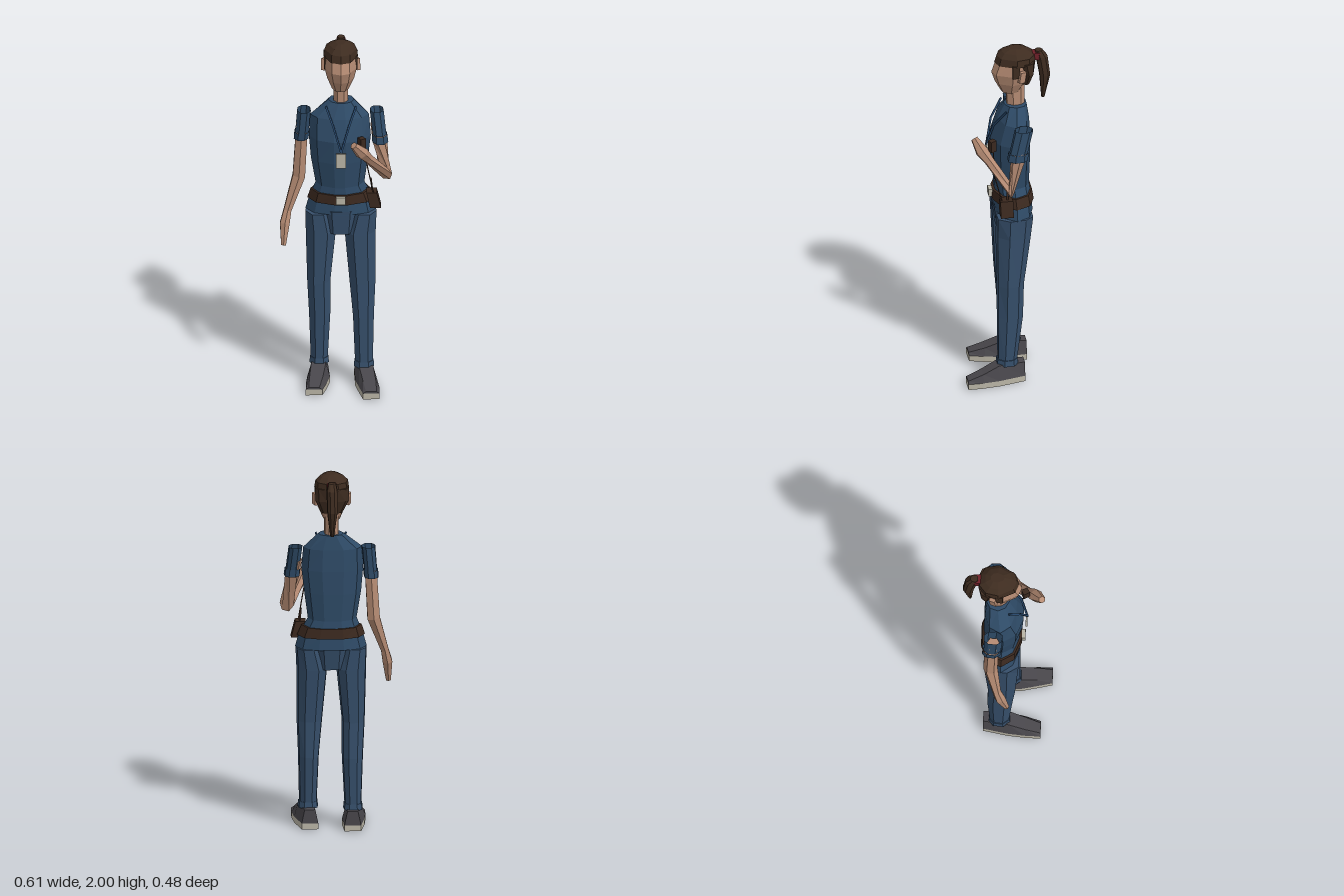
import * as THREE from 'three';

const mat = (name, color, side = THREE.FrontSide) => {
  const m = new THREE.MeshStandardMaterial({ color, side });
  m.name = name;
  return m;
};

// unit outlines as [x, z], half listed from front to back, then mirrored
const mirrored = half => [...half, ...half.filter(p => p[0] > 0).reverse().map(([x, z]) => [-x, z])];
const BODY = mirrored([[0.2, 1], [0.75, 0.65], [1, 0], [0.8, -0.7], [0.35, -1]]);
const HEAD = mirrored([[0, 1], [0.55, 0.82], [1, 0], [0.85, -0.65], [0.35, -1]]);
const LIMB = mirrored([[0.45, 1], [1, 0.35], [0.9, -0.55], [0.4, -1]]);
const BOX = mirrored([[1, 1], [1, -1]]);

// horizontal cross-section fitted to bounds
const section = (shape, [y, x0, x1, z0, z1]) => shape.map(([u, v]) =>
  new THREE.Vector3((x0 + x1) / 2 + u * (x1 - x0) / 2, y, (z0 + z1) / 2 + v * (z1 - z0) / 2));

// flat-faceted skin through a list of rings, turned to face outward
function loft(rings, capStart = true, capEnd = true) {
  const n = rings[0].length, tris = [];
  for (let i = 0; i < rings.length - 1; i++) {
    for (let j = 0; j < n; j++) {
      const k = (j + 1) % n, a = rings[i], b = rings[i + 1];
      tris.push([a[j], a[k], b[k]], [a[j], b[k], b[j]]);
    }
  }
  const first = rings[0], last = rings[rings.length - 1];
  for (let j = 1; j < n - 1; j++) {
    if (capStart) tris.push([first[0], first[j + 1], first[j]]);
    if (capEnd) tris.push([last[0], last[j], last[j + 1]]);
  }
  const c = new THREE.Vector3();
  rings.flat().forEach(p => c.add(p));
  c.divideScalar(rings.length * n);
  let volume = 0;
  for (const [p, q, r] of tris) {
    volume += p.clone().sub(c).dot(q.clone().sub(c).cross(r.clone().sub(c)));
  }
  const pts = tris.flatMap(t => volume < 0 ? [t[0], t[2], t[1]] : t);
  const g = new THREE.BufferGeometry().setFromPoints(pts);
  g.computeVertexNormals();
  return g;
}

// rings set square to a path of [x, y, z, radius]
function limb(path, sides = 6, ref = new THREE.Vector3(0, 0, 1)) {
  const pts = path.map(p => new THREE.Vector3(p[0], p[1], p[2]));
  return loft(pts.map((p, i) => {
    const t = pts[Math.min(i + 1, pts.length - 1)].clone().sub(pts[Math.max(i - 1, 0)]).normalize();
    const u = new THREE.Vector3().crossVectors(t, ref).normalize();
    const v = new THREE.Vector3().crossVectors(u, t);
    return Array.from({ length: sides }, (_, j) => {
      const a = (j + 0.5) / sides * Math.PI * 2;
      return p.clone().addScaledVector(u, Math.cos(a) * path[i][3]).addScaledVector(v, Math.sin(a) * path[i][3]);
    });
  }));
}

export function createModel() {
  const group = new THREE.Group();
  group.name = 'standingWoman';
  const skin = mat('skin', 0xb58b73);
  const hair = mat('hair', 0x3e2c20);
  const shirt = mat('shirt', 0x2e4a66, THREE.DoubleSide);
  const trousers = mat('trousers', 0x364f6b);
  const trim = mat('trim', 0x27476b);
  const leather = mat('leather', 0x3a281e);
  const shoe = mat('shoe', 0x48464b);
  const pale = mat('pale', 0xbab5a6);
  const red = mat('red', 0x6e2028);

  const add = (name, geometry, material) => {
    const m = new THREE.Mesh(geometry, material);
    m.name = name;
    group.add(m);
    return m;
  };
  const stack = (name, material, shape, rows, a = true, b = true) =>
    add(name, loft(rows.map(r => section(shape, r)), a, b), material);
  const box = (name, material, w, h, d, x, y, z) => {
    const m = add(name, new THREE.BoxGeometry(w, h, d), material);
    m.position.set(x, y, z);
    return m;
  };

  // torso and pelvis
  stack('tunic', shirt, BODY, [
    [1.02, -0.165, 0.225, -0.135, 0.07], [1.09, -0.145, 0.205, -0.13, 0.065],
    [1.18, -0.11, 0.155, -0.12, 0.065], [1.33, -0.135, 0.175, -0.125, 0.082],
    [1.46, -0.146, 0.19, -0.125, 0.088], [1.58, -0.14, 0.18, -0.12, 0.05],
    [1.66, -0.04, 0.1, -0.11, 0.01]]);
  stack('pelvis', trousers, LIMB, [[1.04, -0.085, 0.14, -0.13, 0.072], [0.9, -0.065, 0.12, -0.1, 0.055]]);

  // neck, head and ears
  stack('neck', skin, LIMB, [[1.64, -0.012, 0.067, -0.1, -0.005], [1.78, -0.012, 0.067, -0.1, 0]]);
  stack('head', skin, HEAD, [
    [1.735, -0.02, 0.07, -0.07, 0.025], [1.8, -0.047, 0.1, -0.11, 0.06],
    [1.86, -0.062, 0.115, -0.135, 0.08], [1.95, -0.058, 0.111, -0.145, 0.05]]);
  for (const s of [-1, 1]) {
    const ear = box('ear', skin, 0.02, 0.065, 0.035, 0.027 + s * 0.09, 1.86, -0.075);
    ear.rotation.set(-0.15, s * 0.4, 0);
    box('sideburn', hair, 0.012, 0.075, 0.04, 0.027 + s * 0.086, 1.89, -0.043);
  }

  // hair
  stack('hairCap', hair, HEAD, [
    [1.918, -0.068, 0.121, -0.157, 0.064], [1.96, -0.062, 0.115, -0.152, 0.052],
    [1.985, -0.036, 0.09, -0.12, 0.025], [2, 0, 0.055, -0.09, -0.015]]);
  stack('hairBack', hair, BODY, [
    [1.93, -0.066, 0.12, -0.157, -0.045], [1.86, -0.063, 0.116, -0.15, -0.08],
    [1.79, -0.03, 0.085, -0.128, -0.08]]);
  stack('ponytail', hair, LIMB, [
    [1.975, 0.008, 0.05, -0.2, -0.16], [1.935, 0, 0.06, -0.228, -0.165],
    [1.82, 0, 0.058, -0.242, -0.185], [1.68, 0.02, 0.04, -0.212, -0.195]]);
  box('hairTie', red, 0.05, 0.04, 0.04, 0.03, 1.945, -0.165);

  // arms: right hangs, left is raised in front of the chest
  add('rightArm', limb([
    [-0.18, 1.52, -0.07, 0.038], [-0.188, 1.4, -0.08, 0.037], [-0.2, 1.19, -0.085, 0.039],
    [-0.262, 1, -0.05, 0.024], [-0.277, 0.93, -0.03, 0.03], [-0.284, 0.815, 0.005, 0.015]]), skin);
  add('leftArm', limb([
    [0.225, 1.52, -0.06, 0.038], [0.24, 1.42, -0.03, 0.04], [0.268, 1.245, 0.012, 0.042],
    [0.17, 1.385, 0.115, 0.028], [0.14, 1.43, 0.15, 0.037], [0.095, 1.49, 0.185, 0.02]],
  6, new THREE.Vector3(0.6, 0, 0.8)), skin);

  // open sleeves with turned cuffs
  const sleeves = {
    right: [[1.592, -0.21, -0.135, -0.12, -0.02], [1.46, -0.22, -0.147, -0.122, -0.03],
      [1.462, -0.225, -0.143, -0.128, -0.026], [1.42, -0.228, -0.148, -0.13, -0.03]],
    left: [[1.592, 0.185, 0.26, -0.115, -0.02], [1.46, 0.2, 0.275, -0.082, 0.012],
      [1.462, 0.196, 0.28, -0.086, 0.018], [1.42, 0.198, 0.285, -0.083, 0.025]]
  };
  for (const side in sleeves) {
    stack(side + 'Sleeve', shirt, LIMB, sleeves[side].slice(0, 2), false, false);
    stack(side + 'Cuff', shirt, LIMB, sleeves[side].slice(2), false, false);
  }

  // trouser legs, left one slightly forward
  const legs = {
    right: [[1.02, -0.165, -0.03, -0.125, 0.065], [0.9, -0.163, 0, -0.12, 0.06],
      [0.6, -0.155, -0.03, -0.1, 0.045], [0.4, -0.145, -0.03, -0.105, 0.03], [0.11, -0.135, -0.045, -0.09, 0.01]],
    left: [[1.02, 0.085, 0.221, -0.125, 0.068], [0.9, 0.048, 0.216, -0.115, 0.068],
      [0.6, 0.075, 0.214, -0.075, 0.066], [0.4, 0.093, 0.206, -0.07, 0.066], [0.11, 0.105, 0.2, -0.035, 0.064]]
  };
  for (const side in legs) {
    stack(side + 'Leg', trousers, LIMB, legs[side]);
    const [, x0, x1, z0, z1] = legs[side][4];
    stack(side + 'Hem', trousers, LIMB, [[0.14, x0 - 0.005, x1 + 0.005, z0 - 0.005, z1 + 0.005],
      [0.105, x0 - 0.008, x1 + 0.008, z0 - 0.008, z1 + 0.008]]);
  }

  // shoes: stations of [z, inner/outer x, height] from heel to toe
  const shoes = {
    right: [[-0.128, -0.13, -0.04, 0.11], [0.01, -0.155, -0.032, 0.115], [0.1, -0.163, -0.05, 0.075], [0.185, -0.165, -0.075, 0.045]],
    left: [[-0.08, 0.1, 0.19, 0.11], [0.065, 0.105, 0.225, 0.115], [0.155, 0.125, 0.235, 0.075], [0.24, 0.145, 0.236, 0.045]]
  };
  for (const side in shoes) {
    const slab = (y0, top, taper) => loft(shoes[side].map(([z, x0, x1, h]) => {
      const i = (x1 - x0) * taper, y1 = top ?? h;
      return [[x0, y0], [x1, y0], [x1 - i, y1], [x0 + i, y1]].map(([x, y]) => new THREE.Vector3(x, y, z));
    }));
    add(side + 'Shoe', slab(0.033, null, 0.18), shoe);
    add(side + 'Sole', slab(0, 0.033, 0), pale);
  }

  // belt, buckle and radio in its pouch
  stack('belt', leather, BODY, [[1.085, -0.155, 0.214, -0.142, 0.08], [1.14, -0.137, 0.19, -0.134, 0.078]]);
  box('buckle', pale, 0.052, 0.042, 0.02, 0.026, 1.115, 0.088);
  stack('pouch', leather, BOX, [[1.06, 0.185, 0.245, -0.008, 0.062], [1.15, 0.165, 0.222, -0.008, 0.062]]);
  add('antenna', limb([[0.198, 1.14, 0.02, 0.007], [0.19, 1.22, 0.02, 0.006]], 4), leather);
  add('cable', limb([[0.15, 1.43, 0.09, 0.004], [0.178, 1.28, 0.085, 0.004], [0.205, 1.14, 0.05, 0.004]], 4), leather);
  const mic = box('chestMicrophone', leather, 0.032, 0.065, 0.036, 0.14, 1.46, 0.094);
  mic.rotation.y = 0.5;

  // lanyard and badge
  for (const s of [-1, 1]) {
    add('lanyard', limb([[0.028 + s * 0.082, 1.645, 0.012, 0.007], [0.028 + s * 0.042, 1.55, 0.076, 0.007],
      [0.028, 1.41, 0.108, 0.007]], 4), trim);
  }
  box('badge', pale, 0.055, 0.085, 0.009, 0.028, 1.36, 0.104);

  return group;
}
